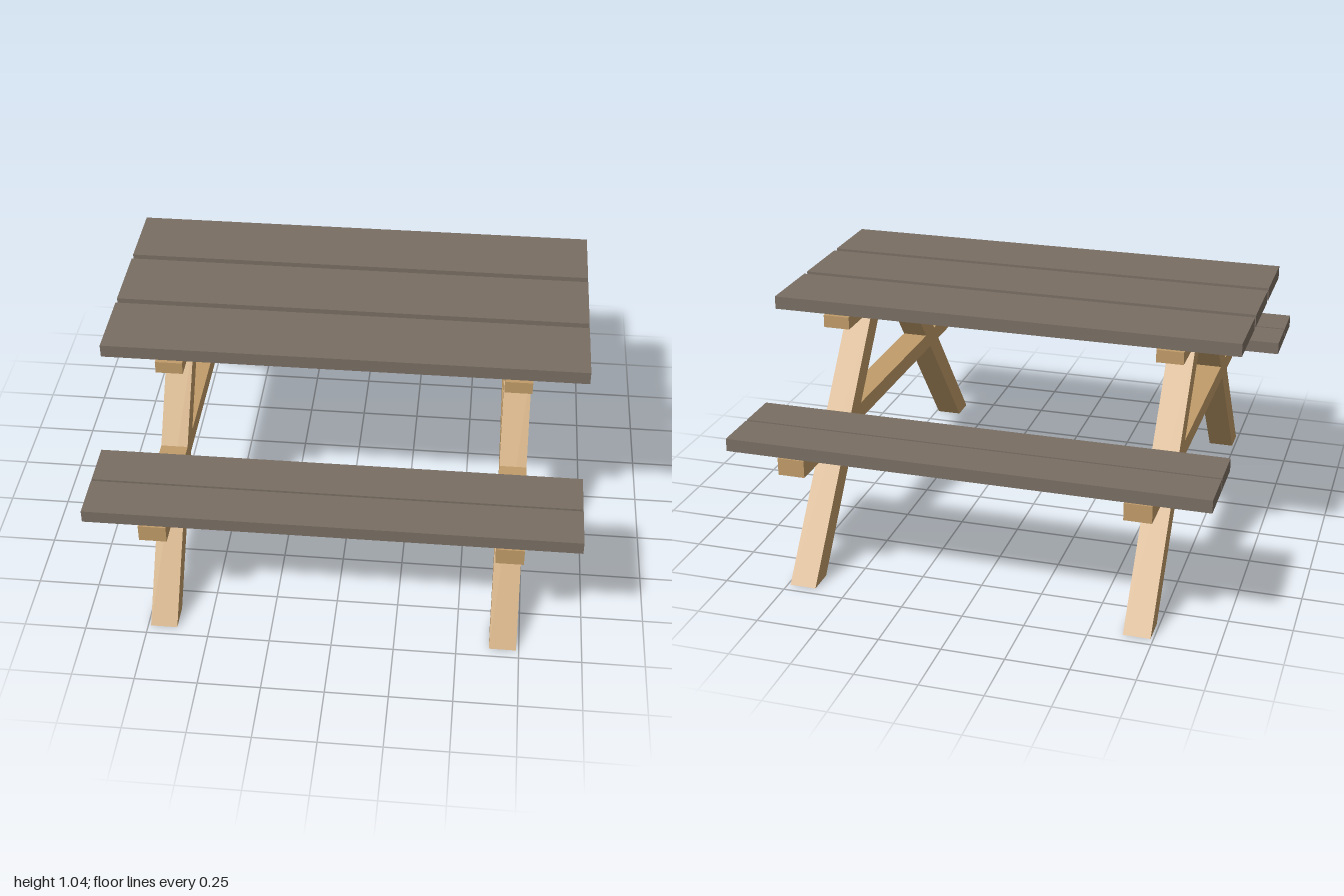
import * as THREE from 'three';

export function createModel() {
  const table = new THREE.Group();
  table.name = 'picnicTable';

  const plankMat = new THREE.MeshStandardMaterial({ color: 0x796e63 });
  plankMat.name = 'greyBrownPlank';
  const frameMat = new THREE.MeshStandardMaterial({ color: 0xc19c69 });
  frameMat.name = 'tanFrame';

  // Box given by its y and z limits, centred on x
  function board(name, width, x, y0, y1, z0, z1, mat, parent) {
    const mesh = new THREE.Mesh(new THREE.BoxGeometry(width, y1 - y0, z1 - z0), mat);
    mesh.position.set(x, (y0 + y1) / 2, (z0 + z1) / 2);
    mesh.name = name;
    parent.add(mesh);
  }

  const length = 1.914;
  const timber = 0.108;

  // Table top: three wide planks
  for (const z of [-0.328, 0, 0.328]) {
    board('topPlank', length, 0, 0.988, 1.041, z - 0.149, z + 0.149, plankMat, table);
  }

  // Benches: two narrow planks on each side
  for (const side of [-1, 1]) {
    for (const z of [0.713, 0.903]) {
      board('seatPlank', length, 0, 0.58, 0.632, side * z - 0.09, side * z + 0.09, plankMat, table);
    }
  }

  // Slanted leg, a parallelogram seen from the side, centred on x
  const legShape = new THREE.Shape([[0.85, 0], [0.96, 0], [0.237, 0.937], [0.127, 0.937]]
    .map(([z, y]) => new THREE.Vector2(z, y)));
  const legGeo = new THREE.ExtrudeGeometry(legShape, { depth: timber, bevelEnabled: false });
  legGeo.translate(0, 0, -timber / 2);

  // End frames: a pair of legs, a top beam and a seat beam
  for (const x of [-0.685, 0.685]) {
    const frame = new THREE.Group();
    frame.name = x > 0 ? 'leftFrame' : 'rightFrame';
    frame.position.x = x;
    board('topBeam', timber, 0, 0.937, 0.988, -0.493, 0.493, frameMat, frame);
    board('seatBeam', timber, 0, 0.51, 0.58, -1, 1, frameMat, frame);
    for (const side of [-1, 1]) {
      const leg = new THREE.Mesh(legGeo, frameMat);
      leg.name = side > 0 ? 'frontLeg' : 'backLeg';
      leg.rotation.y = -side * Math.PI / 2;
      frame.add(leg);
    }
    table.add(frame);
  }

  return table;
}
